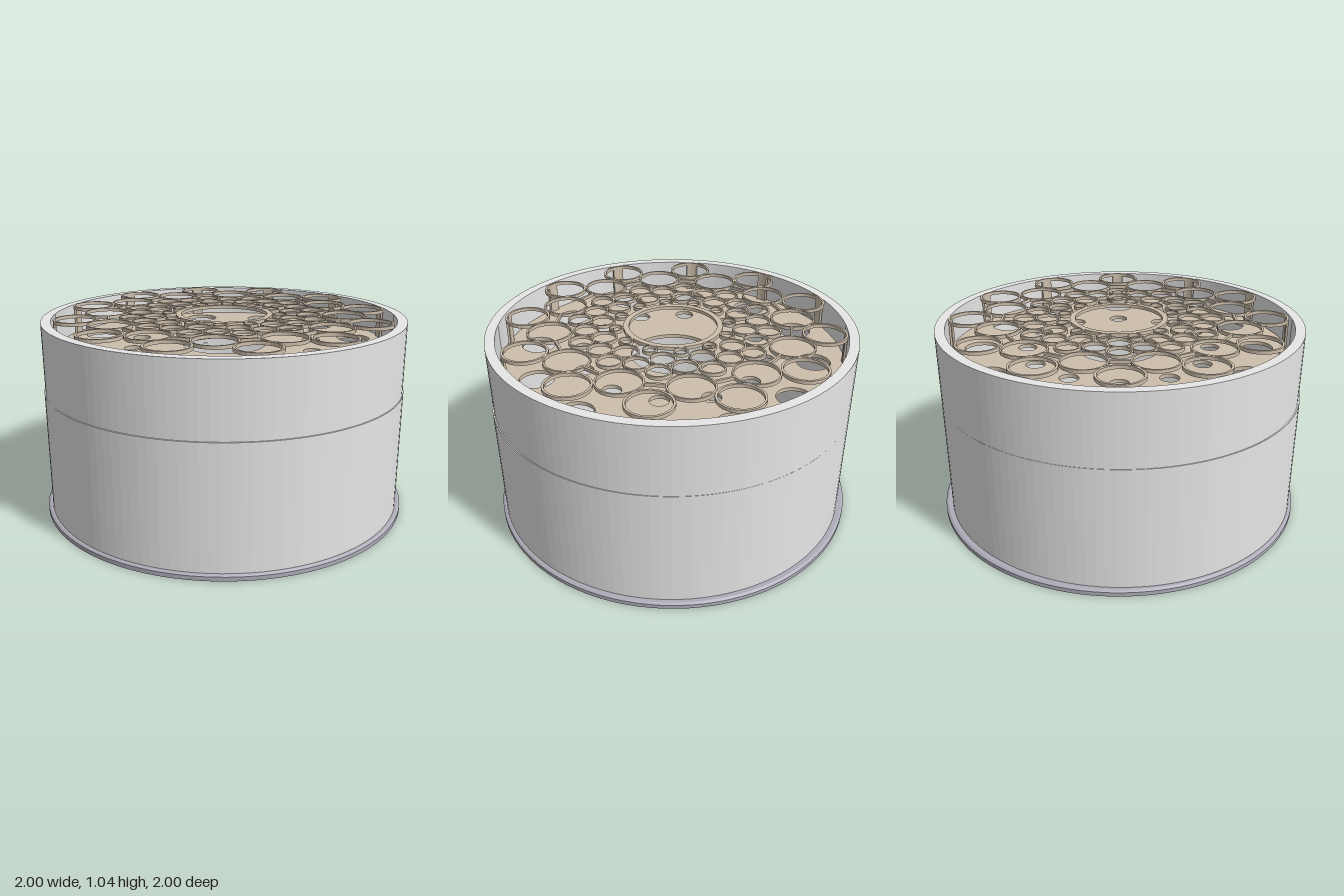
import * as THREE from 'three';

const paint = (name, color) => {
  const m = new THREE.MeshStandardMaterial({ color });
  m.name = name;
  return m;
};

// Flat ring lying in the xz plane, from y up to y + h
function ringGeometry(outer, inner, h, segments) {
  const s = new THREE.Shape().absarc(0, 0, outer, 0, Math.PI * 2);
  s.holes.push(new THREE.Path().absarc(0, 0, inner, 0, Math.PI * 2, true));
  return new THREE.ExtrudeGeometry(s, { depth: h, bevelEnabled: false, curveSegments: segments }).rotateX(-Math.PI / 2);
}

export function createModel() {
  const model = new THREE.Group();
  const grey = paint('light grey', 0xe6e6e6);
  const tan = paint('tan', 0xcdbfac);
  const green = paint('moss green', 0x626d36);
  const slate = paint('slate grey', 0xaeacb8);

  const add = (name, geometry, material, x = 0, y = 0, z = 0, parent = model) => {
    const mesh = new THREE.Mesh(geometry, material);
    mesh.name = name;
    mesh.position.set(x, y, z);
    parent.add(mesh);
    return mesh;
  };
  // Twelvefold placement, angles in degrees from the back towards +x
  const spots = (r, start) => Array.from({ length: 12 }, (_, i) => {
    const a = THREE.MathUtils.degToRad(start + i * 30);
    return { a, x: r * Math.sin(a), z: -r * Math.cos(a) };
  });

  // Base flange with a small bevel
  add('baseFlange', new THREE.CylinderGeometry(1, 1, 0.022, 96), slate, 0, 0.011, 0);
  add('flangeBevel', new THREE.CylinderGeometry(0.988, 1, 0.008, 96), slate, 0, 0.026, 0);

  // Drum wall in two stacked sleeves
  add('lowerSleeve', ringGeometry(0.973, 0.917, 0.64, 64), grey, 0, 0.03, 0.01);
  add('upperSleeve', ringGeometry(0.969, 0.917, 0.37, 64), grey, 0, 0.67, 0.006);

  // Floor inside the drum
  add('innerFloor', ringGeometry(0.917, 0.62, 0.008, 48), tan, 0, 0.03, 0);
  add('floorCentre', new THREE.CylinderGeometry(0.62, 0.62, 0.008, 48), green, 0, 0.034, 0);

  // Recessed plate with a central opening and two circles of holes
  const plate = new THREE.Shape().absarc(0, 0, 0.918, 0, Math.PI * 2);
  const punch = (x, y, r) => plate.holes.push(new THREE.Path().absarc(x, y, r, 0, Math.PI * 2, true));
  punch(0, 0, 0.225);
  for (const p of spots(0.495, -17.5)) punch(p.x, -p.z, 0.05);
  for (const p of spots(0.745, -17.5)) punch(p.x, -p.z, 0.09);
  const plateGeometry = new THREE.ExtrudeGeometry(plate, { depth: 0.02, bevelEnabled: false, curveSegments: 24 });
  add('recessedPlate', plateGeometry.rotateX(-Math.PI / 2), tan, 0, 0.855, 0);

  // Top grille made of touching rings
  const grille = new THREE.Group();
  grille.name = 'grille';
  model.add(grille);
  const top = 1.045, h = 0.018;
  add('centreRing', ringGeometry(0.262, 0.232, h, 32), tan, 0, top - h, 0, grille);
  const rows = [
    ['outerRing', 0.79, 12.3, 0.118, 0.012],
    ['largeRing', 0.645, -2.7, 0.118, 0.009],
    ['holeRing', 0.5, -17.5, 0.066, 0.009],
    ['middleRing', 0.455, -2.7, 0.067, 0.008],
    ['innerRing', 0.378, -17.5, 0.067, 0.008],
    ['smallRing', 0.3, -2.7, 0.038, 0.007],
  ];
  for (const [name, r, start, size, wall] of rows) {
    const geometry = ringGeometry(size, size - wall, h, 16);
    for (const p of spots(r, start)) add(name, geometry, tan, p.x, top - h, p.z, grille);
  }

  // Short links between the large rings
  const link = new THREE.BoxGeometry(0.115, h, 0.012);
  for (const p of spots(0.62, 12.3)) add('link', link, tan, p.x, top - h / 2, p.z, grille).rotation.y = -p.a;

  // Curved legs carrying the grille, at the outer edge of each outer ring
  const arc = new THREE.Shape();
  arc.absarc(0, 0, 0.118, Math.PI / 2 - 0.28, Math.PI / 2 + 0.28);
  arc.absarc(0, 0, 0.106, Math.PI / 2 + 0.28, Math.PI / 2 - 0.28, true);
  const leg = new THREE.ExtrudeGeometry(arc, { depth: 0.155, bevelEnabled: false, curveSegments: 6 }).rotateX(-Math.PI / 2);
  for (const p of spots(0.79, 12.3)) add('grilleLeg', leg, tan, p.x, 0.874, p.z, grille).rotation.y = -p.a;

  return model;
}
